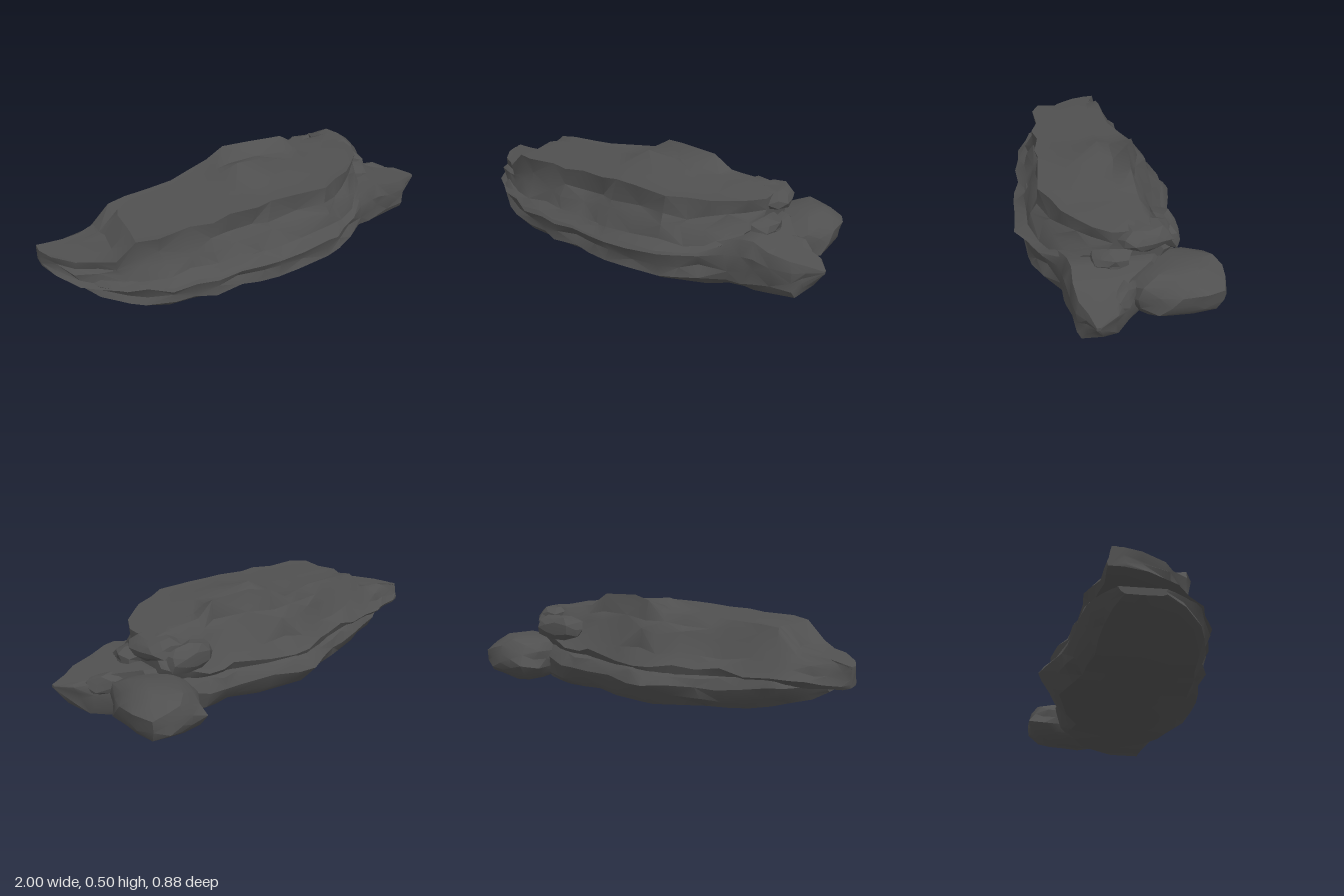
import * as THREE from 'three';
import { toCreasedNormals } from 'three/addons/utils/BufferGeometryUtils.js';

// repeatable noise in -1..1
const hash = (a, b = 0, c = 0) => {
  const s = Math.sin(a * 127.1 + b * 311.7 + c * 74.7) * 43758.5453;
  return (s - Math.floor(s)) * 2 - 1;
};

// stations along x: x, back z, front z, base y, top y
const LOWER = [
  [-0.88, -0.1, 0.1, 0.13, 0.18], [-0.82, -0.16, 0.19, 0.095, 0.2], [-0.73, -0.21, 0.27, 0.07, 0.2],
  [-0.64, -0.23, 0.3, 0.045, 0.2], [-0.54, -0.25, 0.35, 0.02, 0.2], [-0.42, -0.27, 0.355, 0.015, 0.2],
  [-0.32, -0.29, 0.38, 0.012, 0.2], [-0.2, -0.34, 0.385, 0.01, 0.2], [-0.09, -0.39, 0.4, 0.008, 0.2],
  [0, -0.37, 0.405, 0.005, 0.2], [0.13, -0.33, 0.41, 0.005, 0.2], [0.3, -0.28, 0.405, 0.008, 0.21],
  [0.38, -0.285, 0.38, 0.01, 0.215], [0.47, -0.275, 0.34, 0.01, 0.225], [0.57, -0.25, 0.285, 0.012, 0.245],
  [0.65, -0.2, 0.275, 0.014, 0.265], [0.7, -0.15, 0.27, 0.015, 0.265], [0.78, -0.04, 0.26, 0.022, 0.235],
  [0.88, 0.04, 0.25, 0.04, 0.215], [0.93, 0.08, 0.215, 0.09, 0.2], [1, 0.165, 0.185, 0.17, 0.185],
];
const UPPER = [
  [-1, -0.16, -0.08, 0.18, 0.27], [-0.97, -0.17, 0.01, 0.17, 0.275], [-0.9, -0.185, 0.14, 0.165, 0.285],
  [-0.82, -0.21, 0.2, 0.16, 0.29], [-0.73, -0.237, 0.28, 0.16, 0.31], [-0.64, -0.245, 0.305, 0.155, 0.4],
  [-0.54, -0.255, 0.36, 0.15, 0.41], [-0.42, -0.27, 0.37, 0.15, 0.415], [-0.32, -0.29, 0.395, 0.15, 0.42],
  [-0.2, -0.33, 0.39, 0.15, 0.425], [-0.09, -0.37, 0.42, 0.15, 0.43], [0, -0.36, 0.43, 0.155, 0.435],
  [0.13, -0.33, 0.435, 0.16, 0.435], [0.3, -0.28, 0.45, 0.165, 0.43], [0.38, -0.28, 0.39, 0.17, 0.425],
  [0.47, -0.27, 0.355, 0.18, 0.42], [0.55, -0.25, 0.285, 0.2, 0.415], [0.61, -0.22, 0.2, 0.225, 0.41],
  [0.66, -0.18, 0.1, 0.25, 0.4],
];

// stepped cross-sections: share of depth (back to front), share of height
const LOWER_SECTION = [
  [0.14, 0.03], [0.5, 0], [0.9, 0.03], [0.985, 0.2], [0.965, 0.45], [1, 0.75], [0.93, 1],
  [0.5, 1], [0.12, 1], [0.04, 0.85], [0, 0.62], [0.05, 0.28],
];
const UPPER_SECTION = [
  [0.08, 0], [0.5, 0], [0.85, 0], [1, 0.09], [0.92, 0.2], [0.89, 0.48], [0.835, 0.6],
  [0.845, 0.97], [0.66, 0.96], [0.46, 1], [0.37, 0.98], [0.26, 1], [0.22, 0.88], [0.17, 0.7],
  [0.12, 0.42], [0.03, 0.2],
];

// raised crest on top: section point and its lift at x = 0, 0.13 and 0.3
const CREST = { 9: [0.045, 0.03, 0.01], 10: [0.02, 0.02, 0.02], 11: [0.05, 0.065, 0.06] };

function slabGeometry(stations, section, crest = {}) {
  const n = section.length, pos = [], index = [];
  stations.forEach(([x, zb, zf, y0, y1], i) => {
    const inner = i > 0 && i < stations.length - 1;
    section.forEach(([s, t], j) => {
      const k = inner && s > 0 && s < 1 ? 1 : 0;
      const kt = inner && t > 0.05 && t < 0.95 ? 1 : 0;
      const lift = j in crest ? crest[j][[0, 0.13, 0.3].indexOf(x)] || 0 : 0;
      pos.push(
        x + k * hash(i, j, 7) * 0.02,
        y0 + (t + kt * hash(i, j, 3) * 0.06) * (y1 - y0) + lift,
        zb + (s + k * hash(i, j) * 0.018) * (zf - zb),
      );
    });
  });
  for (let i = 0; i < stations.length - 1; i++) {
    for (let j = 0; j < n; j++) {
      const a = i * n + j, b = i * n + (j + 1) % n;
      if ((i + j) % 2) index.push(a, a + n, b, b, a + n, b + n);
      else index.push(a, a + n, b + n, a, b + n, b);
    }
  }
  // end caps
  const last = (stations.length - 1) * n;
  for (let j = 1; j < n - 1; j++) index.push(0, j, j + 1, last, last + j + 1, last + j);
  const g = new THREE.BufferGeometry();
  g.setAttribute('position', new THREE.Float32BufferAttribute(pos, 3));
  g.setIndex(index);
  return toCreasedNormals(g, 0.6);
}

// rough rock: squared-off ball with chipped corners
function rockGeometry(rx, ry, rz, seed, rough, detail, crease) {
  const g = new THREE.IcosahedronGeometry(1, detail);
  const p = g.attributes.position, v = new THREE.Vector3();
  for (let i = 0; i < p.count; i++) {
    v.fromBufferAttribute(p, i);
    const key = [v.x, v.y, v.z].map((c) => Math.round(c * 50));
    const box = Math.pow(v.x ** 4 + v.y ** 4 + v.z ** 4, -0.25);
    v.multiplyScalar((0.45 + 0.55 * box) * (1 + rough * hash(key[0] + seed, key[1], key[2])));
    p.setXYZ(i, v.x * rx, v.y * ry, v.z * rz);
  }
  return toCreasedNormals(g, crease);
}

export function createModel() {
  const model = new THREE.Group();
  model.name = 'rockSlab';
  const stone = new THREE.MeshStandardMaterial({ color: 0x505050 });
  stone.name = 'dark stone';

  const add = (name, geometry, position = [0, 0, 0], rotation = [0, 0, 0]) => {
    const mesh = new THREE.Mesh(geometry, stone);
    mesh.name = name;
    mesh.position.set(...position);
    mesh.rotation.set(...rotation);
    model.add(mesh);
  };
  const block = (name, radii, seed, position, turn) =>
    add(name, rockGeometry(...radii, seed, 0.14, 1, 0.3), position, [0, turn, 0]);

  // base slab with a ramped end, and the overhanging slab on it
  add('lowerSlab', slabGeometry(LOWER, LOWER_SECTION));
  add('upperSlab', slabGeometry(UPPER, UPPER_SECTION, CREST));

  // boulder leaning on the back corner
  add('sideBoulder', rockGeometry(0.17, 0.115, 0.225, 4, 0.09, 2, 0.5), [0.725, 0.15, -0.215], [0.07, -0.08, 0]);

  // broken blocks on the stepped end
  block('upperBlock', [0.085, 0.052, 0.12], 9, [0.635, 0.355, -0.09], 0.15);
  block('backBlock', [0.12, 0.06, 0.06], 13, [0.53, 0.31, -0.2], 0.1);
  block('middleBlock', [0.09, 0.05, 0.09], 17, [0.64, 0.265, 0.06], -0.3);
  block('endShard', [0.12, 0.05, 0.05], 21, [0.79, 0.18, 0.03], -0.5);

  return model;
}
